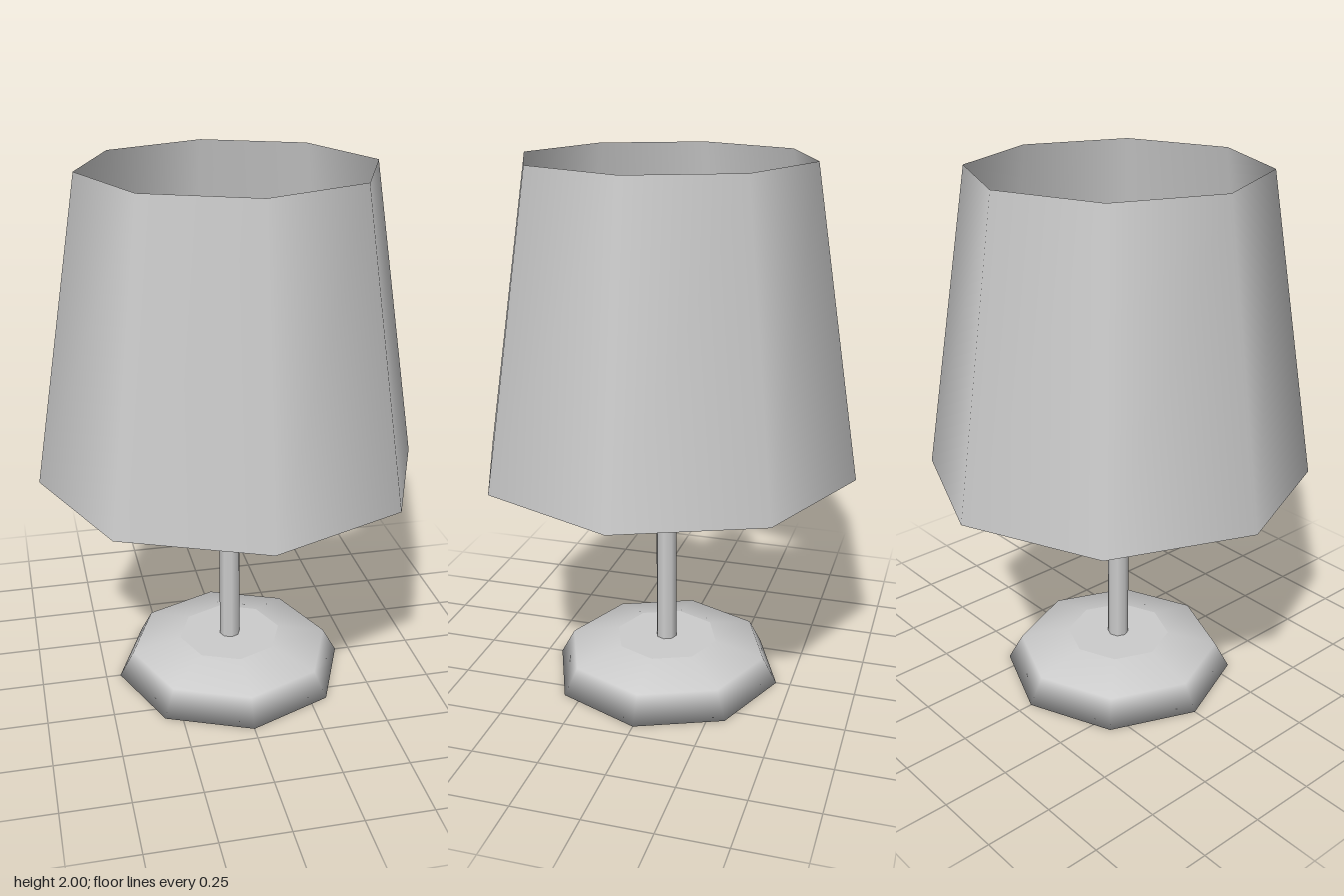
import * as THREE from 'three';

const SIDES = 8;

export function createModel() {
  const lamp = new THREE.Group();
  lamp.name = 'tableLamp';
  const grey = new THREE.MeshStandardMaterial({ color: 0xcccccc });
  const thin = new THREE.MeshStandardMaterial({ color: 0xcccccc, side: THREE.DoubleSide });

  const add = (name, geometry, material = grey, y = 0) => {
    const mesh = new THREE.Mesh(geometry, material);
    mesh.name = name;
    mesh.position.y = y;
    lamp.add(mesh);
    return mesh;
  };
  // Smooth eight-sided turned part from [radius, height] pairs, bottom to top
  const turned = (profile) =>
    new THREE.LatheGeometry(profile.map(([r, y]) => new THREE.Vector2(r, y)), SIDES);

  // Weighted foot: closed underside, flared rim and sloping shoulder
  add('base', turned([[0, 0], [0.445, 0], [0.39, 0.1], [0.2, 0.145]]));

  // Flat plate in the middle of the foot
  const plate = new THREE.CircleGeometry(0.2, SIDES).rotateX(-Math.PI / 2);
  add('basePlate', plate, grey, 0.145);

  // Slim stem up to the bulb
  const bottom = 0.14, top = 1.36;
  add('stem', new THREE.CylinderGeometry(0.04, 0.04, top - bottom, SIDES), grey, (top + bottom) / 2);

  // Bulb, hidden inside the shade
  add('bulb', turned([
    [0, 1.34], [0.06, 1.34], [0.115, 1.42], [0.115, 1.48], [0.085, 1.56], [0, 1.59],
  ]));

  // Open tapered shade
  add('shade', new THREE.CylinderGeometry(0.53, 0.71, 1.12, SIDES, 1, true), thin, 1.44);

  return lamp;
}
